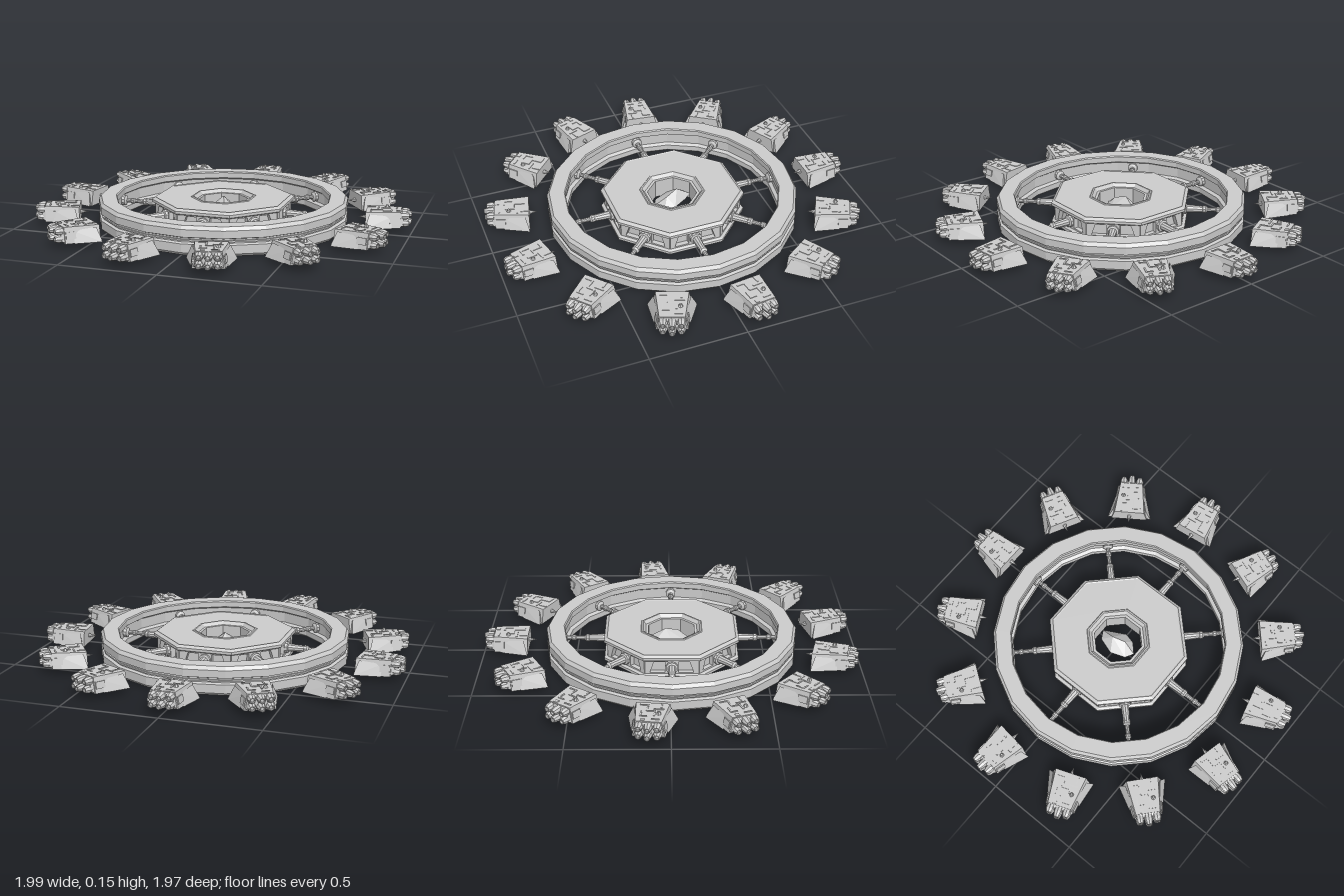
import * as THREE from 'three';
import { ConvexGeometry } from 'three/addons/geometries/ConvexGeometry.js';

const mat = new THREE.MeshStandardMaterial({ color: 0xcccccc, flatShading: true });

function add(parent, name, geo, x = 0, y = 0, z = 0) {
  const m = new THREE.Mesh(geo, mat);
  m.name = name;
  m.position.set(x, y, z);
  parent.add(m);
  return m;
}

function facet(geo) {
  const g = geo.index ? geo.toNonIndexed() : geo;
  g.computeVertexNormals();
  return g;
}

// Revolve [radius, y] points; radiusScale turns flat-to-centre distances into corner radii
function turned(points, sides, radiusScale = 1, start = 0) {
  const p = points.map(([r, y]) => new THREE.Vector2(r * radiusScale, y));
  return facet(new THREE.LatheGeometry(p, sides, start));
}

const hull = pts => new ConvexGeometry(pts.map(p => new THREE.Vector3(...p)));

// Box whose ends are trapezoids: each end is [z, yBottom, yTop, halfBottom, halfTop]
function taperedBlock(a, b) {
  const pts = [];
  for (const [z, y0, y1, w0, w1] of [a, b])
    for (const s of [-1, 1]) pts.push([s * w0, y0, z], [s * w1, y1, z]);
  return hull(pts);
}

// Small ship: nose towards the centre (-z), engines outward (+z)
function makeShip() {
  const ship = new THREE.Group();
  ship.name = 'ship';
  add(ship, 'hull', taperedBlock([0.765, 0.025, 0.108, 0.1, 0.082], [0.945, 0.03, 0.112, 0.078, 0.062]));
  add(ship, 'tailBlock', taperedBlock([0.945, 0.036, 0.106, 0.07, 0.058], [0.96, 0.042, 0.1, 0.064, 0.054]));
  add(ship, 'noseSpike', new THREE.ConeGeometry(0.014, 0.05, 6), 0, 0.065, 0.748).rotation.x = -Math.PI / 2;
  // Swept side fins
  for (const s of [-1, 1]) {
    add(ship, 'fin', hull([
      [s * 0.088, 0.028, 0.9], [s * 0.068, 0.09, 0.9], [s * 0.085, 0.025, 0.775],
      [s * 0.122, 0.028, 0.768], [s * 0.09, 0.1, 0.785], [s * 0.116, 0.04, 0.768]]));
    const panel = add(ship, 'sidePanel', new THREE.BoxGeometry(0.006, 0.035, 0.05), s * 0.077, 0.07, 0.915);
    panel.rotation.set(0, -s * 0.12, s * 0.2);
  }
  // Two rows of three engines
  for (const x of [-0.044, 0, 0.044]) for (const y of [0.052, 0.092]) {
    const len = x === 0 ? 0.05 : 0.038;
    const e = add(ship, 'engine', turned([[0, 0], [0.021, 0], [0.021, 0.02], [0.014, len], [0.01, len], [0.008, len - 0.01], [0, len - 0.01]], 8), x, y, 0.95);
    e.rotation.x = Math.PI / 2;
  }
  // Raised deck strips: [width, length, x, z]
  const strips = [
    [0.04, 0.008, -0.04, 0.79], [0.008, 0.055, -0.02, 0.815], [0.045, 0.008, 0, 0.845],
    [0.008, 0.05, 0.02, 0.865], [0.05, 0.008, 0.035, 0.825], [0.008, 0.04, 0.045, 0.79],
    [0.035, 0.008, -0.03, 0.895], [0.008, 0.045, -0.045, 0.875], [0.04, 0.008, 0.03, 0.92],
    [0.02, 0.02, -0.03, 0.93]];
  for (const [w, l, x, z] of strips)
    add(ship, 'deckStrip', new THREE.BoxGeometry(w, 0.006, l), x, 0.11 + (z - 0.85) * 0.022, z);
  add(ship, 'deckSensor', new THREE.CylinderGeometry(0.006, 0.012, 0.014, 6), 0.04, 0.118, 0.87);
  return ship;
}

// Wall of the hub with two slanted windows
function wallGeometry() {
  const w = 0.138, h0 = 0.034, h1 = 0.114;
  const shape = new THREE.Shape([[-w, h0], [w, h0], [w, h1], [-w, h1]].map(p => new THREE.Vector2(...p)));
  for (const s of [-1, 1]) {
    const pts = [[0.035, 0.044], [0.112, 0.044], [0.092, 0.104], [0.035, 0.104]];
    shape.holes.push(new THREE.Path(pts.map(([x, y]) => new THREE.Vector2(s * x, y))));
  }
  return new THREE.ExtrudeGeometry(shape, { depth: 0.026, bevelEnabled: false });
}

export function createModel() {
  const model = new THREE.Group();
  model.name = 'station';
  const body = new THREE.Group();
  body.name = 'stationBody';
  body.position.z = 0.007;
  model.add(body);

  // Outer ring with a groove on both faces
  add(body, 'outerRing', turned([
    [0.575, 0], [0.655, 0], [0.668, 0.014], [0.668, 0.058], [0.652, 0.064], [0.652, 0.086],
    [0.668, 0.092], [0.668, 0.13], [0.655, 0.148], [0.575, 0.148], [0.57, 0.142], [0.57, 0.112],
    [0.588, 0.102], [0.588, 0.046], [0.57, 0.036], [0.57, 0.006], [0.575, 0]], 20));
  add(body, 'ringRail', turned([
    [0.65, 0.071], [0.66, 0.071], [0.66, 0.079], [0.65, 0.079]], 20));

  // Octagonal hub with an open shaft, flats facing the spokes
  const oct = 1 / Math.cos(Math.PI / 8);
  add(body, 'hub', turned([
    [0.122, 0.02], [0.15, 0.006], [0.34, 0.006], [0.354, 0.016], [0.354, 0.03], [0.345, 0.036],
    [0.312, 0.036], [0.312, 0.112], [0.345, 0.112], [0.354, 0.118], [0.354, 0.132], [0.338, 0.144],
    [0.332, 0.14], [0.162, 0.14], [0.158, 0.144], [0.15, 0.144], [0.136, 0.126], [0.122, 0.126], [0.122, 0.02]],
    8, oct, Math.PI / 8));

  // Floating rock in the shaft
  add(body, 'coreRock', hull([
    [0, 0.09, -0.105], [0.026, 0.08, -0.065], [-0.045, 0.085, -0.08], [-0.01, 0.135, -0.03],
    [0.065, 0.075, 0.005], [0.052, 0.07, 0.06], [0.005, 0.065, 0.105], [-0.042, 0.07, 0.08],
    [-0.072, 0.08, 0.005], [0.015, 0.115, 0.035], [-0.03, 0.03, -0.02], [0.02, 0.025, 0.03]]));

  // Hub walls and spokes
  const wall = wallGeometry();
  const spoke = turned([
    [0, 0.31], [0.032, 0.31], [0.032, 0.352], [0.022, 0.356], [0.018, 0.44], [0.021, 0.442], [0.021, 0.456],
    [0.012, 0.464], [0.011, 0.51], [0.016, 0.515], [0.016, 0.53], [0.011, 0.536],
    [0.012, 0.558], [0.028, 0.566], [0.028, 0.59], [0, 0.59]], 10);
  for (let i = 0; i < 8; i++) {
    const side = new THREE.Group();
    side.name = 'hubSide';
    side.rotation.y = i * Math.PI / 4;
    add(side, 'hubWall', wall, 0, 0, 0.312);
    add(side, 'spoke', spoke, 0, 0.074, 0).rotation.x = Math.PI / 2;
    body.add(side);
  }

  // Thirteen docked ships around the ring, the first at the back
  const ship = makeShip();
  for (let i = 0; i < 13; i++) {
    const s = ship.clone();
    s.rotation.y = Math.PI + i * 2 * Math.PI / 13;
    body.add(s);
  }
  return model;
}
